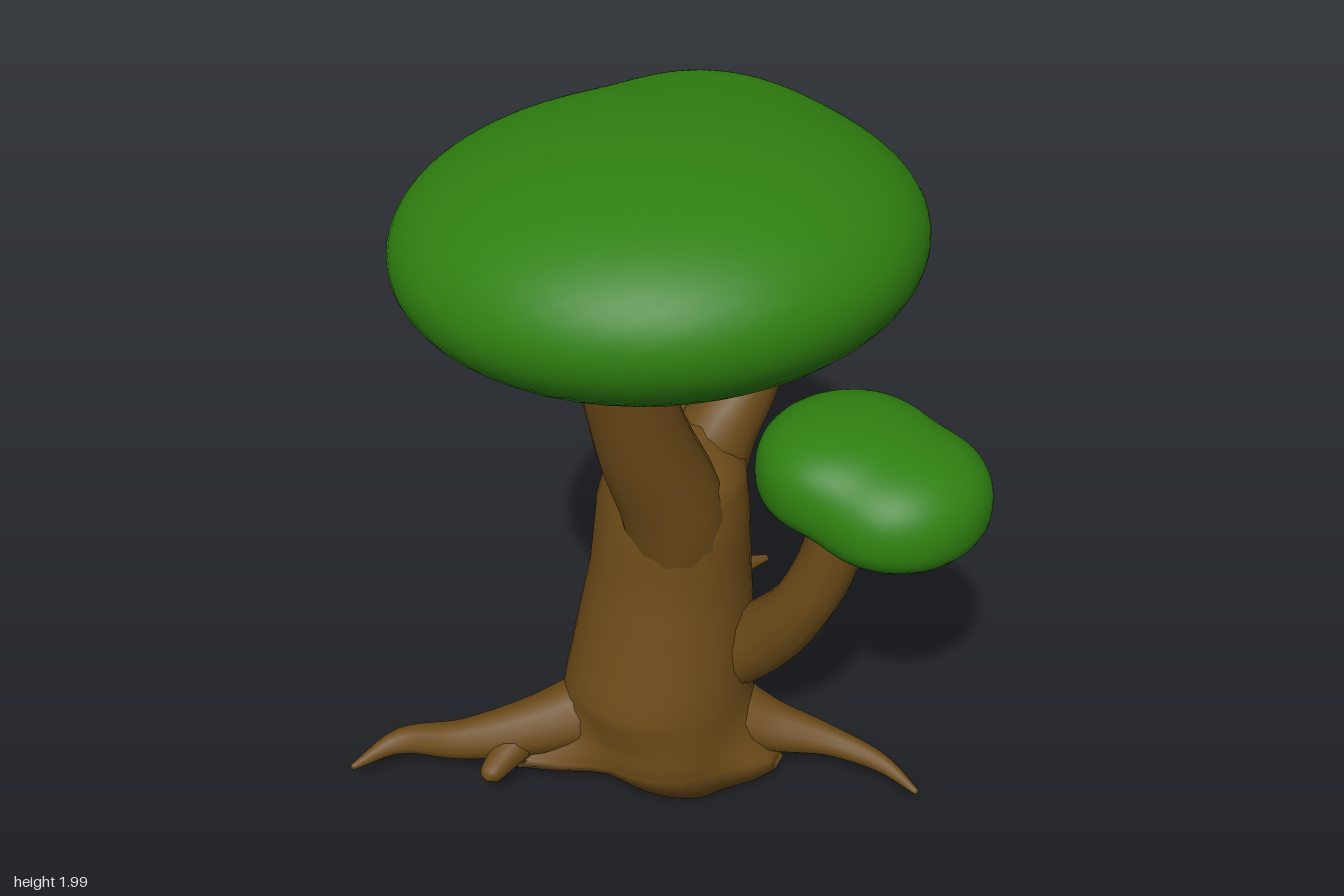
import * as THREE from 'three';
import { mergeVertices } from 'three/addons/utils/BufferGeometryUtils.js';

const bark = new THREE.MeshStandardMaterial({ color: 0x6b4a18, side: THREE.DoubleSide });
const leaf = new THREE.MeshStandardMaterial({ color: 0x2f8010 });

// Value of a list of equally spaced samples at t in 0..1
function sample(list, t) {
  const f = Math.min(t, 0.9999) * (list.length - 1);
  const i = Math.floor(f);
  return THREE.MathUtils.lerp(list[i], list[i + 1], f - i);
}

// Tapered limb along points [x, y, z, radius]
function limb(name, pts, sides = 12) {
  const curve = new THREE.CatmullRomCurve3(pts.map(p => new THREE.Vector3(p[0], p[1], p[2])));
  const n = pts.length * 5;
  const geo = new THREE.TubeGeometry(curve, n, 1, sides);
  const pos = geo.attributes.position;
  const v = new THREE.Vector3();
  const radii = pts.map(p => p[3]);
  for (let i = 0; i <= n; i++) {
    const c = curve.getPointAt(i / n);
    const r = sample(radii, curve.getUtoTmapping(i / n));
    for (let j = 0; j <= sides; j++) {
      const k = i * (sides + 1) + j;
      v.fromBufferAttribute(pos, k).sub(c).multiplyScalar(r).add(c);
      pos.setXYZ(k, v.x, v.y, v.z);
    }
  }
  return finish(name, geo, bark);
}

function finish(name, geo, material) {
  geo.deleteAttribute('normal');
  geo.deleteAttribute('uv');
  const merged = mergeVertices(geo, 1e-5);
  merged.computeVertexNormals();
  const mesh = new THREE.Mesh(merged, material);
  mesh.name = name;
  return mesh;
}

// Foliage: a ball projected outwards onto a soft union of flattened lobes
function foliage(name, center, lobes, detail) {
  const field = p => lobes.reduce((sum, l) => {
    const dx = p.x - l.c[0], dz = p.z - l.c[2];
    const dy = p.y - l.c[1] - dx * (l.tiltX || 0) - dz * (l.tiltZ || 0);
    const h = Math.hypot(dx / l.r[0], dz / l.r[2]);
    const q = Math.pow(Math.pow(h, l.pow) + Math.pow(Math.abs(dy) / (dy > 0 ? l.r[1] : l.down), l.pow), 1 / l.pow);
    return sum + Math.exp(-12 * (q - 1));
  }, 0);
  const geo = new THREE.IcosahedronGeometry(1, detail);
  const pos = geo.attributes.position;
  const c = new THREE.Vector3(...center), d = new THREE.Vector3(), p = new THREE.Vector3();
  for (let i = 0; i < pos.count; i++) {
    d.fromBufferAttribute(pos, i).normalize();
    let r = 1.3;
    while (r > 0.02 && field(p.copy(c).addScaledVector(d, r)) < 1) r -= 0.02;
    let lo = r, hi = r + 0.02;
    for (let k = 0; k < 10; k++) {
      const m = (lo + hi) / 2;
      if (field(p.copy(c).addScaledVector(d, m)) < 1) hi = m; else lo = m;
    }
    p.copy(c).addScaledVector(d, lo);
    pos.setXYZ(i, p.x, p.y, p.z);
  }
  return finish(name, geo, leaf);
}

// Trunk: stacked oval rings; the foot spreads into a three-pointed star along the roots
function trunk() {
  const rings = [ // y, centre x, centre z, radius x, radius z
    [0.06, 0.0, -0.01, 0.23, 0.21],
    [0.11, 0.0, -0.01, 0.235, 0.22],
    [0.17, -0.01, -0.02, 0.245, 0.235],
    [0.28, -0.02, -0.025, 0.25, 0.26],
    [0.45, -0.03, -0.055, 0.235, 0.24],
    [0.62, -0.035, -0.075, 0.215, 0.215],
    [0.80, -0.04, -0.085, 0.21, 0.195],
    [0.92, -0.045, -0.1, 0.185, 0.175],
    [1.02, -0.08, -0.13, 0.08, 0.08],
  ];
  const spread = [[-0.27, 0.46, 0.27], [-0.28, -0.48, 0.3], [0.5, -0.34, 0.13]]; // direction x, z, reach
  const cols = [0, 1, 2, 3, 4].map(k => rings.map(r => r[k]));
  const geo = new THREE.CylinderGeometry(1, 1, 1, 40, 24);
  const pos = geo.attributes.position;
  for (let i = 0; i < pos.count; i++) {
    const t = pos.getY(i) + 0.5, ux = pos.getX(i), uz = pos.getZ(i);
    const [y, cx, cz, rx, rz] = cols.map(c => sample(c, t));
    const fall = Math.max(0, 1 - (y - 0.06) / 0.24) ** 2;
    let reach = 0;
    for (const [sx, sz, amount] of spread) {
      const cos = (ux * sx + uz * sz) / Math.hypot(sx, sz);
      reach += amount * fall * Math.exp(-13 * (1 - cos));
    }
    const x = cx + ux * (rx + reach), z = cz + uz * (rz + reach);
    const dip = t < 0.01 ? 0.06 * Math.max(0, 1 - Math.hypot(x - 0.23, z - 0.03) / 0.26) : 0;
    pos.setXYZ(i, x, y - dip, z);
  }
  return finish('trunk', geo, bark);
}

export function createModel() {
  const tree = new THREE.Group();
  tree.name = 'tree';
  tree.add(trunk());

  // Roots
  tree.add(
    limb('frontRoot', [[-0.08, 0.18, 0.08, 0.12], [-0.16, 0.145, 0.28, 0.085], [-0.27, 0.115, 0.46, 0.057],
      [-0.4, 0.09, 0.59, 0.037], [-0.415, 0.07, 0.74, 0.008]]),
    limb('frontRootlet', [[-0.18, 0.12, 0.33, 0.06], [-0.155, 0.1, 0.42, 0.042], [-0.135, 0.085, 0.48, 0.028], [-0.13, 0.08, 0.49, 0.002]]),
    limb('backRoot', [[-0.1, 0.18, -0.1, 0.12], [-0.2, 0.15, -0.3, 0.09], [-0.31, 0.115, -0.46, 0.06],
      [-0.38, 0.1, -0.62, 0.038], [-0.36, 0.1, -0.74, 0.01]]),
    limb('leftRoot', [[0.08, 0.18, -0.1, 0.12], [0.23, 0.13, -0.21, 0.075], [0.37, 0.11, -0.31, 0.042],
      [0.51, 0.092, -0.37, 0.026], [0.63, 0.065, -0.385, 0.008]]),
  );

  // Main limb with a twig behind it
  tree.add(
    limb('mainBranch', [[0.0, 0.55, -0.07, 0.14], [0.03, 0.83, -0.03, 0.14], [0.035, 1.08, 0.07, 0.123],
      [0.045, 1.3, 0.145, 0.105], [0.05, 1.55, 0.22, 0.1]], 14),
    limb('mainTwig', [[0.05, 1.12, 0.09, 0.08], [0.055, 1.25, 0.045, 0.068], [0.065, 1.34, -0.01, 0.046], [0.07, 1.5, -0.09, 0.035]]),
  );

  // Back limbs holding the low lobe of the crown
  tree.add(
    limb('backBranch', [[-0.05, 0.7, -0.13, 0.14], [-0.035, 0.95, -0.22, 0.11], [-0.01, 1.13, -0.34, 0.072], [-0.01, 1.42, -0.39, 0.06]]),
    limb('rightBranch', [[-0.1, 0.7, -0.11, 0.14], [-0.17, 0.95, -0.15, 0.105], [-0.29, 1.12, -0.19, 0.07],
      [-0.37, 1.28, -0.175, 0.052], [-0.39, 1.42, -0.17, 0.05]]),
    limb('rightTwig', [[-0.26, 1.08, -0.18, 0.06], [-0.27, 1.19, -0.22, 0.046], [-0.235, 1.42, -0.29, 0.028]]),
  );

  // Low side limb holding the small crown
  tree.add(
    limb('leftBranch', [[0.08, 0.32, -0.15, 0.11], [0.22, 0.46, -0.19, 0.095], [0.33, 0.62, -0.21, 0.08],
      [0.39, 0.8, -0.24, 0.076], [0.41, 1.0, -0.26, 0.078]]),
    limb('leftTwig', [[0.34, 0.65, -0.23, 0.055], [0.31, 0.77, -0.31, 0.045], [0.27, 0.95, -0.37, 0.035]]),
  );

  // Crowns
  tree.add(
    foliage('mainCrown', [-0.04, 1.57, -0.12], [
      { c: [0.135, 1.71, 0.11], r: [0.595, 0.275, 0.6], down: 0.27, pow: 2.05, tiltX: 0.06 },
      { c: [-0.3, 1.47, -0.345], r: [0.43, 0.15, 0.37], down: 0.15, pow: 2.5 },
      { c: [0.0, 1.45, -0.37], r: [0.28, 0.18, 0.32], down: 0.17, pow: 2.2 },
      { c: [0.0, 1.69, -0.18], r: [0.37, 0.24, 0.3], down: 0.2, pow: 2 },
      { c: [-0.1, 1.59, -0.36], r: [0.37, 0.19, 0.28], down: 0.2, pow: 2, tiltZ: 0.5, tiltX: 0.15 },
    ], 24),
    foliage('smallCrown', [0.43, 1.01, -0.33], [
      { c: [0.36, 1.03, -0.31], r: [0.215, 0.145, 0.24], down: 0.14, pow: 2.5 },
      { c: [0.51, 0.985, -0.345], r: [0.215, 0.165, 0.235], down: 0.13, pow: 2.3 },
    ], 14),
  );
  return tree;
}
